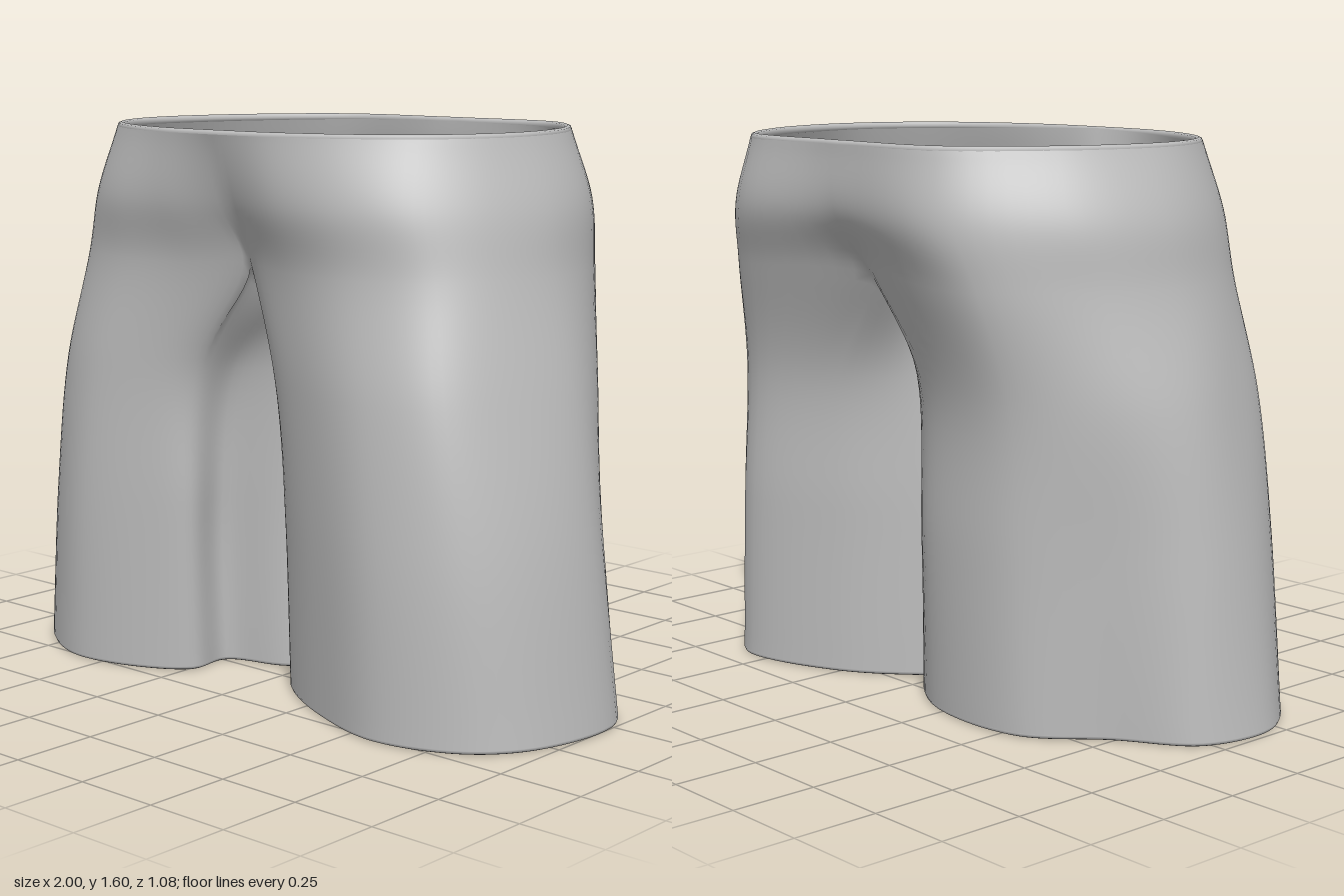
import * as THREE from 'three';
import { mergeVertices } from 'three/addons/utils/BufferGeometryUtils.js';

const S = 7;          // samples between neighbouring ring points
const V = 9;          // rows between neighbouring levels
const OUT = 8 * S;    // columns 0..OUT run front seam -> outside -> back seam
const RING = 13 * S;  // remaining columns close the ring along the inner leg
const SEAM = 0.015;   // x of the centre seam
const RIM = 0.012;    // half the cloth thickness

// Rings as [x, z]: nine outer points (front seam to back seam), four inner points
const leftLeg = [
  [0.014, [[.12, .34], [.33, .46], [.6, .535], [.85, .45], [.975, .28], [.995, -.02], [.77, -.23], [.59, -.42], [.26, -.34], [.05, -.18], [-.09, 0], [-.01, .18], [.05, .26]]],
  [0.5, [[.12, .36], [.33, .48], [.58, .54], [.8, .46], [.92, .28], [.945, .01], [.77, -.22], [.57, -.42], [.25, -.34], [.05, -.18], [-.07, 0], [0, .18], [.05, .27]]],
  [0.9, [[.09, .37], [.3, .48], [.53, .52], [.73, .45], [.84, .27], [.885, .02], [.77, -.22], [.55, -.41], [.22, -.34], [.05, -.18], [0, 0], [.04, .17], [.06, .27]]],
];
const rightLeg = [
  [0.014, [[-.23, .38], [-.35, .47], [-.6, .52], [-.84, .4], [-.985, .2], [-.95, -.03], [-.75, -.18], [-.55, -.35], [-.22, -.35], [0, -.2], [.1, 0], [-.05, .18], [-.23, .25]]],
  [0.5, [[-.22, .4], [-.34, .48], [-.57, .525], [-.79, .41], [-.915, .21], [-.92, 0], [-.75, -.2], [-.53, -.37], [-.2, -.36], [0, -.19], [.08, 0], [-.04, .18], [-.22, .27]]],
  [0.9, [[-.19, .4], [-.31, .475], [-.52, .51], [-.72, .42], [-.83, .22], [-.865, 0], [-.75, -.22], [-.52, -.39], [-.18, -.35], [.02, -.18], [.06, 0], [.01, .17], [-.15, .28]]],
];
// Half pelvis, used on both sides: crotch level, hip and waist
const crotch = [[.015, .385], [.23, .47], [.46, .485], [.66, .405], [.77, .25], [.815, .02], [.74, -.23], [.5, -.475], [.015, -.38]];
const saddle = [[.03, 1.09, -.18], [.04, 1.0, 0], [.05, 1.05, .17], [.045, 1.13, .28]];
const hip = [1.4, [[.015, .475], [.24, .52], [.45, .5], [.62, .405], [.74, .23], [.785, 0], [.7, -.27], [.45, -.52], [.015, -.51]]];
const waist = [1.588, [[.015, .535], [.22, .525], [.42, .465], [.59, .35], [.69, .18], [.71, 0], [.635, -.25], [.42, -.49], [.015, -.52]]];

const curve = (pts, closed = false) => new THREE.CatmullRomCurve3(pts, closed);
const sample = (c, n, count) => Array.from({ length: count }, (_, i) => c.getPoint(i / n));
const lift = ([y, pts]) => pts.map(([x, z]) => new THREE.Vector3(x, y, z));
const mirror = (p) => new THREE.Vector3(2 * SEAM - p.x, p.y, p.z);

// Grid of columns for one half of the garment
function halfColumns(leg, flip) {
  const levels = leg.map((l) => sample(curve(lift(l), true), RING, RING));
  const split = [...lift([1.22, crotch]), ...saddle.map((p) => new THREE.Vector3(...p))];
  // outer part is mirrored, the saddle is shared by both halves
  const top = sample(curve(split, true), RING, RING)
    .map((p, k) => (flip && k > 0 && k < OUT ? mirror(p) : p));
  levels.push(top);
  for (const l of [hip, waist]) {
    const row = sample(curve(lift(l)), OUT, OUT + 1);
    levels.push(flip ? row.map(mirror) : row);
  }

  return top.map((end, k) => {
    const pts = levels.slice(0, 4).map((l) => l[k]);
    if (k > OUT) {
      // inner leg stops at the crotch saddle
      pts.push(end.clone().multiplyScalar(2).sub(levels[2][k]));
      return sample(curve(pts), 4 * V, 3 * V + 1);
    }
    pts.push(levels[4][k], levels[5][k]);
    const col = sample(curve(pts), 5 * V, 5 * V + 1);
    if (k === 0 || k === OUT) {
      // both halves share the same centre seam
      const seam = sample(curve(pts.slice(3)), 2 * V, 2 * V + 1);
      seam.forEach((p, j) => { p.x = SEAM; col[3 * V + j] = p; });
    }
    return col;
  });
}

// Joins the columns into faces, with the outside facing outwards
function addFaces(cols, flip, out) {
  for (let k = 0; k < RING; k++) {
    const a = cols[k], b = cols[(k + 1) % RING];
    const rows = k < OUT ? 5 * V : 3 * V;
    for (let j = 0; j < rows; j++) {
      const quad = [a[j], b[j], b[j + 1], a[j], b[j + 1], a[j + 1]];
      if (flip) quad.reverse();
      for (const p of quad) out.push(p.x, p.y, p.z);
    }
  }
}

// Rounded edge, set inwards so that it is flush with the outside of the cloth
function rim(pts) {
  const n = pts.length;
  const inset = pts.map((p, i) => {
    const t = pts[(i + 1) % n].clone().sub(pts[(i + n - 1) % n]).normalize();
    return new THREE.Vector3(p.x + t.z * RIM, p.y, p.z - t.x * RIM);
  });
  return new THREE.TubeGeometry(curve(inset, true), 160, RIM, 8, true);
}

// Inside of the cloth: the outside moved in along its normals and turned over
function liningOf(cloth) {
  const lining = cloth.clone();
  const p = lining.attributes.position, n = lining.attributes.normal;
  for (let i = 0; i < p.count; i++) {
    p.setXYZ(i, p.getX(i) - n.getX(i) * 2 * RIM, p.getY(i) - n.getY(i) * 2 * RIM, p.getZ(i) - n.getZ(i) * 2 * RIM);
  }
  lining.index.array.reverse();
  lining.computeVertexNormals();
  return lining;
}

export function createModel() {
  const group = new THREE.Group();
  group.name = 'shorts';
  const fabric = new THREE.MeshStandardMaterial({ color: 0xbcbcbc, side: THREE.DoubleSide });
  fabric.name = 'grey fabric';
  const add = (name, geometry) => {
    const mesh = new THREE.Mesh(geometry, fabric);
    mesh.name = name;
    group.add(mesh);
  };

  // Cloth: two legs joined into the hips
  const left = halfColumns(leftLeg, false);
  const right = halfColumns(rightLeg, true);
  const positions = [];
  addFaces(left, false, positions);
  addFaces(right, true, positions);
  let cloth = new THREE.BufferGeometry();
  cloth.setAttribute('position', new THREE.Float32BufferAttribute(positions, 3));
  cloth = mergeVertices(cloth, 1e-4);
  cloth.computeVertexNormals();
  add('cloth', cloth);
  add('lining', liningOf(cloth));

  // Rounded edges at the waist and both hems
  const topEdge = (cols) => cols.slice(0, OUT + 1).map((c) => c[5 * V]);
  add('waistRim', rim([...topEdge(left), ...topEdge(right).reverse().slice(1, -1)]));
  add('leftHem', rim(left.map((c) => c[0])));
  add('rightHem', rim(right.map((c) => c[0]).reverse()));
  return group;
}
